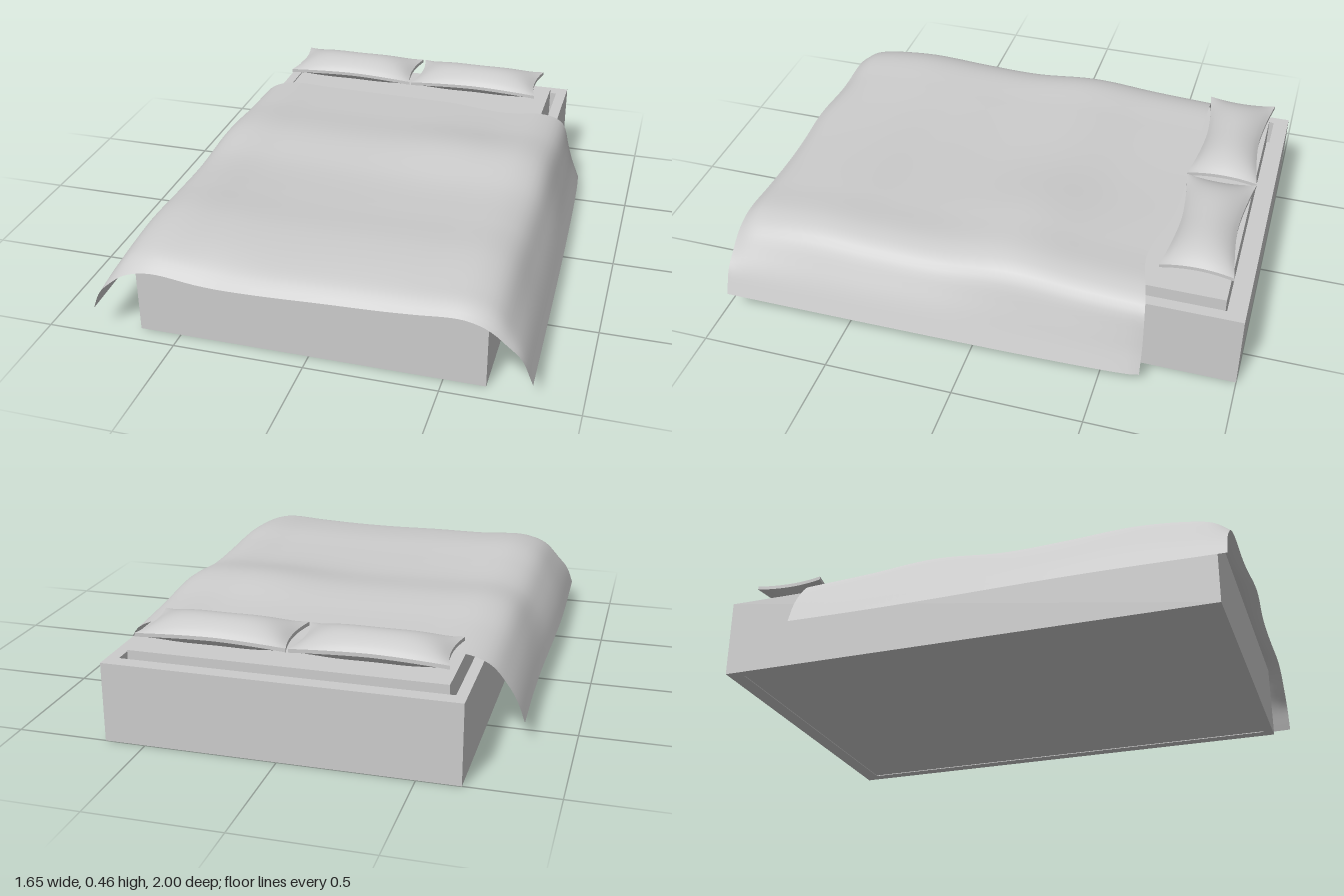
import * as THREE from 'three';

const grey = new THREE.MeshStandardMaterial({ color: 0xcccccc });
const cloth = new THREE.MeshStandardMaterial({ color: 0xcccccc, side: THREE.DoubleSide });

function part(name, geometry, material = grey) {
  const mesh = new THREE.Mesh(geometry, material);
  mesh.name = name;
  return mesh;
}

function box(name, x0, x1, y0, y1, z0, z1) {
  const mesh = part(name, new THREE.BoxGeometry(x1 - x0, y1 - y0, z1 - z0));
  mesh.position.set((x0 + x1) / 2, (y0 + y1) / 2, (z0 + z1) / 2);
  return mesh;
}

// Moves every vertex of a geometry by a rule and renews its normals
function reshape(geometry, rule) {
  const pos = geometry.attributes.position;
  const v = new THREE.Vector3();
  for (let i = 0; i < pos.count; i++) {
    rule(v.fromBufferAttribute(pos, i));
    pos.setXYZ(i, v.x, v.y, v.z);
  }
  geometry.computeVertexNormals();
  return geometry;
}

const spline = (points) =>
  new THREE.CatmullRomCurve3(points.map(([a, b]) => new THREE.Vector3(a, b, 0)));

const bump = (x, centre, width) => Math.exp(-(((x - centre) / width) ** 2));

// Hollow bed base: a rectangular ring of walls
function frameGeometry() {
  const rect = (Type, x0, x1, y0, y1) =>
    new Type([[x0, y0], [x1, y0], [x1, y1], [x0, y1]].map((p) => new THREE.Vector2(...p)));
  const shape = rect(THREE.Shape, -0.66, 0.655, -0.93, 1);
  shape.holes.push(rect(THREE.Path, -0.62, 0.61, -0.89, 0.94));
  return new THREE.ExtrudeGeometry(shape, { depth: 0.305, bevelEnabled: false }).rotateX(-Math.PI / 2);
}

// Blanket: a cross-section (x, y) swept along a wavy lengthwise profile (z, y)
function blanketGeometry() {
  const section = spline([
    [-0.82, 0.1], [-0.79, 0.18], [-0.75, 0.25], [-0.69, 0.32], [-0.6, 0.352], [-0.4, 0.35],
    [0, 0.345], [0.4, 0.35], [0.6, 0.35], [0.68, 0.315], [0.735, 0.22], [0.8, 0.065],
  ]);
  const profile = spline([
    [-0.655, 0.338], [-0.4, 0.352], [-0.13, 0.372], [0.15, 0.348], [0.4, 0.352],
    [0.65, 0.362], [0.85, 0.345], [0.93, 0.325], [0.985, 0.285],
  ]);
  const plane = new THREE.PlaneGeometry(1, 1, 80, 64).rotateX(-Math.PI / 2);
  return reshape(plane, (v) => {
    const t = v.z + 0.5;
    const s = section.getPointAt(THREE.MathUtils.clamp(v.x + 0.5, 0, 1));
    const p = profile.getPointAt(THREE.MathUtils.clamp(t, 0, 1));
    const hang = THREE.MathUtils.smoothstep(0.35 - s.y, 0, 0.22);
    const leftHang = s.x > 0 ? hang : 0;
    const folds = 0.018 * bump(s.x, 0.33, 0.25) * bump(p.x, -0.13, 0.25)
      + 0.01 * bump(s.x, -0.5, 0.2) * bump(p.x, 0.6, 0.3)
      - 0.012 * bump(s.x, -0.37, 0.15) * bump(p.x, 1, 0.1)
      + 0.015 * bump(s.x, 0.55, 0.2) * bump(p.x, 1, 0.1);
    v.x = s.x + leftHang * (-0.035 + 0.06 * Math.sqrt(t))
      + (s.x < 0 ? hang * 0.006 * Math.sin(7 * t) : 0);
    v.y = s.y + (p.y - 0.35 + folds) * (1 - hang) + leftHang * (-0.015 + 0.03 * t);
    v.z = p.x + 0.06 * bump(s.x, 0.43, 0.2) * (1 - t) ** 4
      + 0.016 * bump(s.x, -0.18, 0.2) * t ** 4;
  });
}

// Pillow: flat box swollen in the middle, edges drawn in between the corners
function pillowGeometry() {
  return reshape(new THREE.BoxGeometry(2, 2, 2, 28, 1, 20), (v) => {
    const { x: a, y: side, z: b } = v;
    const swell = (1 - a ** 4) * (1 - b * b) ** 0.85;
    v.x = 0.283 * a * (1 - 0.07 * (1 - b * b));
    v.z = 0.138 * b * (1 - 0.22 * (1 - Math.abs(a) ** 1.6));
    v.y = side * (0.007 + 0.048 * swell);
  });
}

export function createModel() {
  const bed = new THREE.Group();
  bed.name = 'bed';

  // Base and mattress
  bed.add(part('bedFrame', frameGeometry()));
  bed.add(box('bedFloor', -0.63, 0.62, 0.003, 0.2, -0.95, 0.9));
  bed.add(box('mattress', -0.595, 0.585, 0.2, 0.332, -0.922, 0.87));

  // Bedding
  bed.add(part('blanket', blanketGeometry(), cloth));
  const pillow = pillowGeometry();
  for (const [name, x] of [['rightPillow', -0.312], ['leftPillow', 0.262]]) {
    const mesh = part(name, pillow);
    mesh.position.set(x, 0.4, -0.798);
    bed.add(mesh);
  }
  return bed;
}
